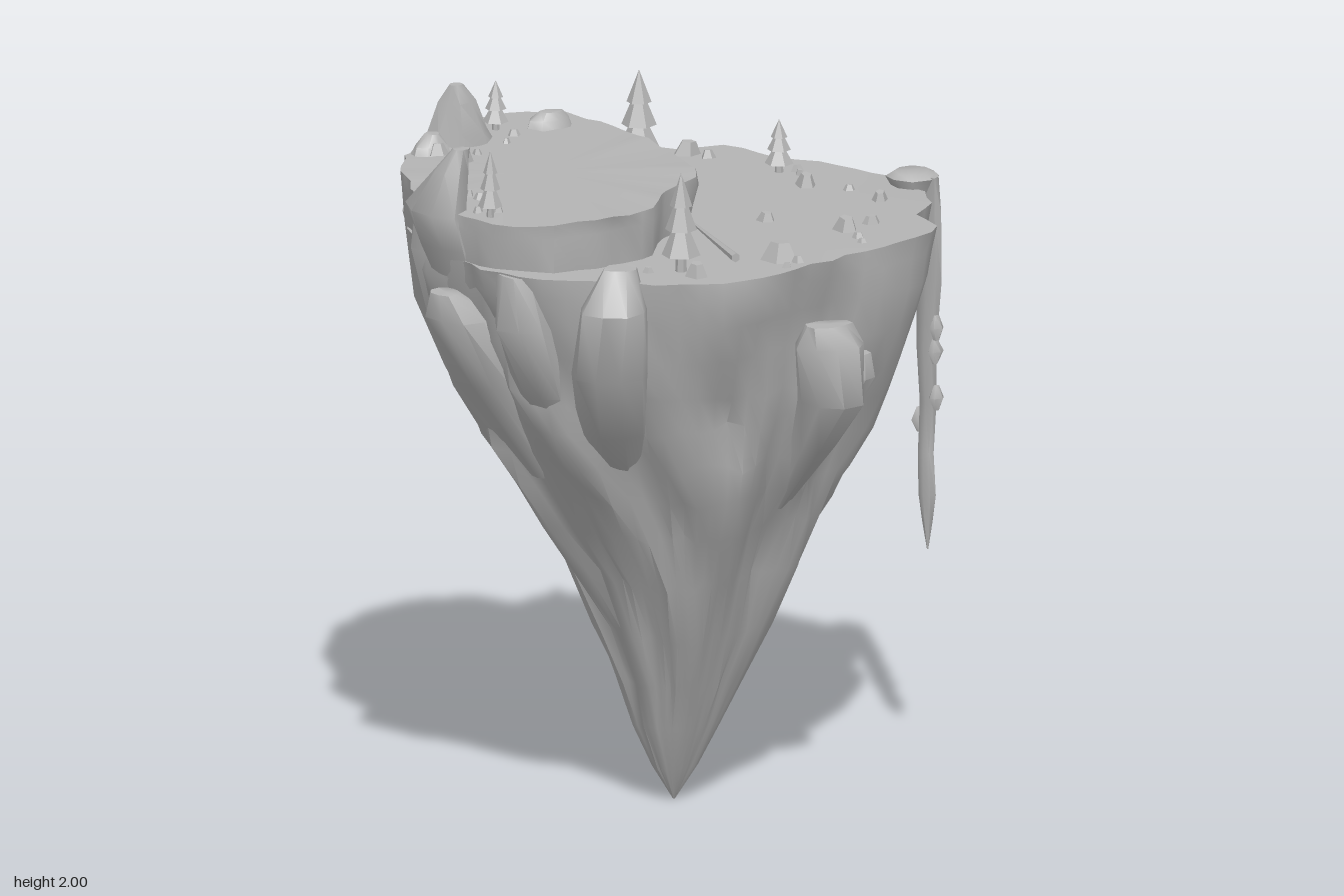
import * as THREE from 'three';
import { toCreasedNormals } from 'three/addons/utils/BufferGeometryUtils.js';

const stone = new THREE.MeshStandardMaterial({ color: 0xb4b4b4 });
stone.name = 'grey stone';

// Repeatable value in -1..1
const hash = (a, b = 0) => {
  const s = Math.sin(a * 127.1 + b * 311.7 + 4.3) * 43758.5453;
  return (s - Math.floor(s)) * 2 - 1;
};

// Skin closed rings listed from top to bottom, capping both ends
function loft(rings, crease = 0.6) {
  const n = rings[0].length, pos = [], idx = [];
  rings.forEach(r => r.forEach(p => pos.push(...p)));
  const centre = ring => {
    pos.push(...[0, 1, 2].map(k => ring.reduce((s, p) => s + p[k], 0) / n));
    return pos.length / 3 - 1;
  };
  const top = centre(rings[0]), bottom = centre(rings[rings.length - 1]);
  const last = (rings.length - 1) * n;
  for (let j = 0; j < n; j++) {
    const k = (j + 1) % n;
    for (let i = 0; i < rings.length - 1; i++) {
      const a = i * n + j, b = i * n + k;
      idx.push(a, b, a + n, b, b + n, a + n);
    }
    idx.push(top, k, j, bottom, last + j, last + k);
  }
  const g = new THREE.BufferGeometry();
  g.setAttribute('position', new THREE.Float32BufferAttribute(pos, 3));
  g.setIndex(idx);
  return toCreasedNormals(g, crease);
}

// Even, slightly jagged points along a closed plan outline of x, z pairs
function plan(pairs, n, jag) {
  const curve = new THREE.CatmullRomCurve3(pairs.map(([x, z]) => new THREE.Vector3(x, 0, z)), true);
  return curve.getSpacedPoints(n).slice(0, n).map((p, j) => {
    const s = 1 + jag * hash(j, 3);
    return [p.x * s, p.z * s];
  });
}

// Irregular rock from sections [x, y, z, rx, rz], top to bottom
function crag(sections, sides = 8, seed = 1, rough = 0.15) {
  return loft(sections.map(([x, y, z, rx, rz], i) => Array.from({ length: sides }, (_, j) => {
    const a = (j / sides) * Math.PI * 2 + seed;
    const s = 1 + rough * hash(j + seed * 7, i * 0.4);
    return [x + rx * s * Math.cos(a), y + 0.15 * rough * rx * hash(j, i + seed), z + rz * s * Math.sin(a)];
  })), 0.85);
}

export function createModel() {
  const model = new THREE.Group();
  const add = (name, geometry, parent = model) => {
    const m = new THREE.Mesh(geometry, stone);
    m.name = name;
    parent.add(m);
    return m;
  };

  // Hanging rock cone; each level is [y, scale to +x, -x, +z, -z]
  const edge = plan([[.73, 0], [.72, .15], [.63, .27], [.62, .41], [.44, .53], [.14, .6], [-.1, .68],
    [-.28, .64], [-.48, .54], [-.64, .4], [-.73, .2], [-.76, 0], [-.7, -.2], [-.61, -.4], [-.49, -.55],
    [-.38, -.63], [-.2, -.66], [-.04, -.64], [.17, -.68], [.31, -.61], [.46, -.59], [.52, -.46], [.67, -.27]], 72, .022);
  const levels = [[1.67, 1, 1, 1, 1], [1.61, .99, .985, .99, .99], [1.53, .965, .955, .965, .965],
    [1.42, .91, .895, .92, .92], [1.3, .85, .83, .865, .86], [1.2, .79, .775, .815, .8], [1.08, .74, .71, .76, .74],
    [.97, .66, .61, .69, .67], [.85, .57, .51, .6, .58], [.7, .47, .39, .5, .475], [.52, .38, .29, .385, .39],
    [.36, .28, .205, .265, .29], [.23, .19, .16, .175, .19], [.1, .095, .085, .085, .085], [0, .004, .004, .004, .004]];
  add('rockCone', loft(levels.map(([y, right, left, front, back], i) => edge.map(([x, z], j) => {
    const a = Math.atan2(z, x);
    const fade = Math.min(1, i / 4) * Math.min(1, y / .7);
    const lumps = .024 * Math.sin(5 * a + 7 * y) + .022 * Math.sin(9 * a - 9 * y + 1)
      + .018 * Math.sin(14 * a + 5 * y) + .03 * hash(Math.floor((j + i) / 3), Math.floor(i / 2));
    const s = 1 + fade * (lumps - .008);
    const dy = i === 0 ? .005 * Math.sin(3 * a) : .02 * fade * hash(j, i);
    return [x * (x > 0 ? right : left) * s + .012 * (1 - y / 1.67), y + dy, z * (z > 0 ? front : back) * s];
  })), 0.85));

  // Raised terrace on the model's right
  const cx = -.33, cz = -.1;
  const terrace = plan([[.06, 0], [.03, .11], [-.1, .2], [-.21, .35], [-.37, .42], [-.54, .41], [-.68, .31],
    [-.74, .17], [-.77, -.02], [-.71, -.2], [-.62, -.39], [-.5, -.53], [-.41, -.63], [-.2, -.68], [-.07, -.63],
    [0, -.55], [.05, -.38], [.07, -.18]], 54, .022);
  const terraceRings = [[1.81, 1], [1.77, .995], [1.67, .98], [1.45, .88], [1.25, .68], [1.05, .4]];
  add('upperTerrace', loft(terraceRings.map(([y, f], i) => terrace.map(([x, z], j) => {
    const s = f * (1 + (i ? .03 * hash(Math.floor(j / 2), i) : 0));
    return [cx + (x - cx) * s, y + (i ? 0 : .006 * hash(j, 8)), cz + (z - cz) * s];
  })), 0.75));

  // Buttresses bulging from the cone, their feet sunk into it
  [
    [[.21, 1.49, .6, .07, .04], [.22, 1.43, .595, .1, .08], [.24, 1.26, .55, .095, .11], [.22, 1.1, .45, .07, .08], [.18, .9, .32, .03, .03]],
    [[.34, 1.37, .5, .035, .04], [.33, 1.3, .49, .06, .07], [.29, 1.15, .42, .05, .06], [.22, .95, .29, .03, .03]],
    [[-.4, 1.71, .56, .05, .04], [-.43, 1.6, .58, .1, .1], [-.43, 1.4, .53, .11, .11], [-.36, 1.2, .41, .09, .09], [-.24, .95, .24, .03, .03]],
    [[-.75, 1.58, .16, .04, .05], [-.71, 1.51, .16, .09, .1], [-.61, 1.3, .13, .08, .11], [-.42, 1, .09, .04, .05]],
    [[-.62, 1.67, .36, .06, .06], [-.6, 1.52, .36, .09, .1], [-.51, 1.3, .3, .08, .09], [-.31, 1, .17, .04, .04]],
    [[.43, 1.62, -.53, .07, .05], [.43, 1.55, -.53, .09, .08], [.39, 1.38, -.46, .09, .09], [.21, 1.02, -.25, .04, .04]],
  ].forEach((s, i) => add('buttress', crag(s, 9, i + 1, .12)));

  // Tall rocks standing on the terrace rim
  [
    [[-.705, 1.985, .16, .025, .02], [-.72, 1.92, .13, .05, .055], [-.745, 1.8, .08, .075, .12], [-.72, 1.7, .08, .06, .13], [-.64, 1.5, .06, .05, .09]],
    [[-.44, 1.98, -.46, .02, .018], [-.43, 1.93, -.47, .05, .04], [-.42, 1.84, -.49, .085, .07], [-.42, 1.76, -.51, .13, .09],
      [-.4, 1.5, -.47, .13, .1], [-.3, 1.2, -.31, .06, .06]],
    [[-.53, 1.86, -.42, .02, .02], [-.54, 1.83, -.41, .05, .035], [-.54, 1.76, -.41, .07, .05]],
    [[-.13, 1.855, -.51, .035, .02], [-.13, 1.835, -.51, .06, .035], [-.13, 1.79, -.51, .075, .045]],
  ].forEach((s, i) => add('standingRock', crag(s, 8, i + 11)));

  // Waterfall: lip over the rim, then a tapering stream with splashes
  const fall = new THREE.Group();
  fall.name = 'waterfall';
  model.add(fall);
  add('waterfallLip', crag([[.74, 1.71, -.02, .05, .05], [.745, 1.695, -.02, .075, .068], [.74, 1.65, -.02, .045, .055]], 8, 2, .06), fall);
  add('waterfallStream', crag([[.783, 1.7, -.012, .026, .058], [.787, 1.6, -.012, .028, .06], [.79, 1.4, -.014, .027, .056],
    [.782, 1.2, -.015, .024, .048], [.788, 1.05, -.015, .022, .04], [.783, .9, -.02, .02, .03], [.785, .78, -.02, .024, .034],
    [.787, .7, -.02, .015, .02], [.788, .62, -.02, .002, .002]], 8, 1, .12), fall);
  [[1.27, .045], [1.2, .035], [1.07, .045], [.98, -.07]].forEach(([y, z], i) => add('splash',
    crag([[.785, y + .035, z, .008, .006], [.785, y, z, .024, .014], [.785, y - .035, z, .008, .006]], 6, i), fall));

  // Conifers with six-sided tiers: [x, z, base, height, radius]
  [[-.66, .26, 1.81, .19, .034], [-.28, -.55, 1.81, .14, .036], [-.2, .52, 1.67, .28, .054],
    [.14, -.52, 1.67, .27, .06], [.46, -.29, 1.67, .15, .04]].forEach(([x, z, y, h, r]) => {
    const tree = new THREE.Group();
    tree.name = 'conifer';
    tree.position.set(x, y, z);
    model.add(tree);
    add('trunk', toCreasedNormals(new THREE.CylinderGeometry(r * .25, r * .3, h * .3, 6), .5), tree).position.y = h * .14;
    [[.16, 1, .3, .35], [.42, .82, .28, .3], [.66, .58, .34, 0]].forEach(([b, w, t, tip]) => {
      const tier = toCreasedNormals(new THREE.CylinderGeometry(r * tip, r * w, h * t, 6), .5);
      add('foliage', tier, tree).position.y = h * (b + t / 2);
    });
  });

  // Loose stones as [x, z, radius] on each level
  const stones = (list, y) => list.forEach(([x, z, r], i) => {
    const g = new THREE.CylinderGeometry(r * .5, r, r * .95, 5);
    const m = add('looseStone', toCreasedNormals(g, .5));
    m.position.set(x, y + r * .4, z);
    m.rotation.set(.12 * hash(i), i * 1.3, .12 * hash(i, 2));
    m.scale.set(1, 1, .8 + .2 * hash(i, 5));
  });
  stones([[.3, -.55, .045], [.34, -.5, .025], [.1, -.63, .042], [.11, -.3, .045], [.1, -.19, .03], [.07, -.05, .02],
    [.47, -.13, .038], [.56, -.04, .018], [.59, .1, .032], [.22, .16, .03], [-.07, .26, .025], [.38, .34, .045],
    [.47, .31, .03], [.38, .42, .02], [.37, .47, .016], [.1, .52, .055], [.13, .57, .02], [.08, .61, .016],
    [-.18, .58, .04], [-.29, .5, .018], [.12, -.39, .015], [.11, -.43, .016], [.51, -.28, .02], [.5, -.24, .016], [.2, -.49, .02]], 1.67);
  stones([[-.5, -.29, .04], [-.53, -.38, .035], [-.26, -.47, .02], [-.31, -.41, .016], [-.43, -.34, .016],
    [-.63, -.02, .015], [-.62, .03, .016], [-.61, .08, .02], [-.62, .16, .026], [-.62, .22, .02], [-.67, .2, .018]], 1.81);

  // Fallen log beside the terrace
  const log = add('fallenLog', toCreasedNormals(new THREE.CylinderGeometry(.004, .013, .37, 6), .6));
  log.position.set(-.02, 1.69, .345);
  log.rotation.set(-Math.PI / 2, 0, -.1);

  return model;
}
